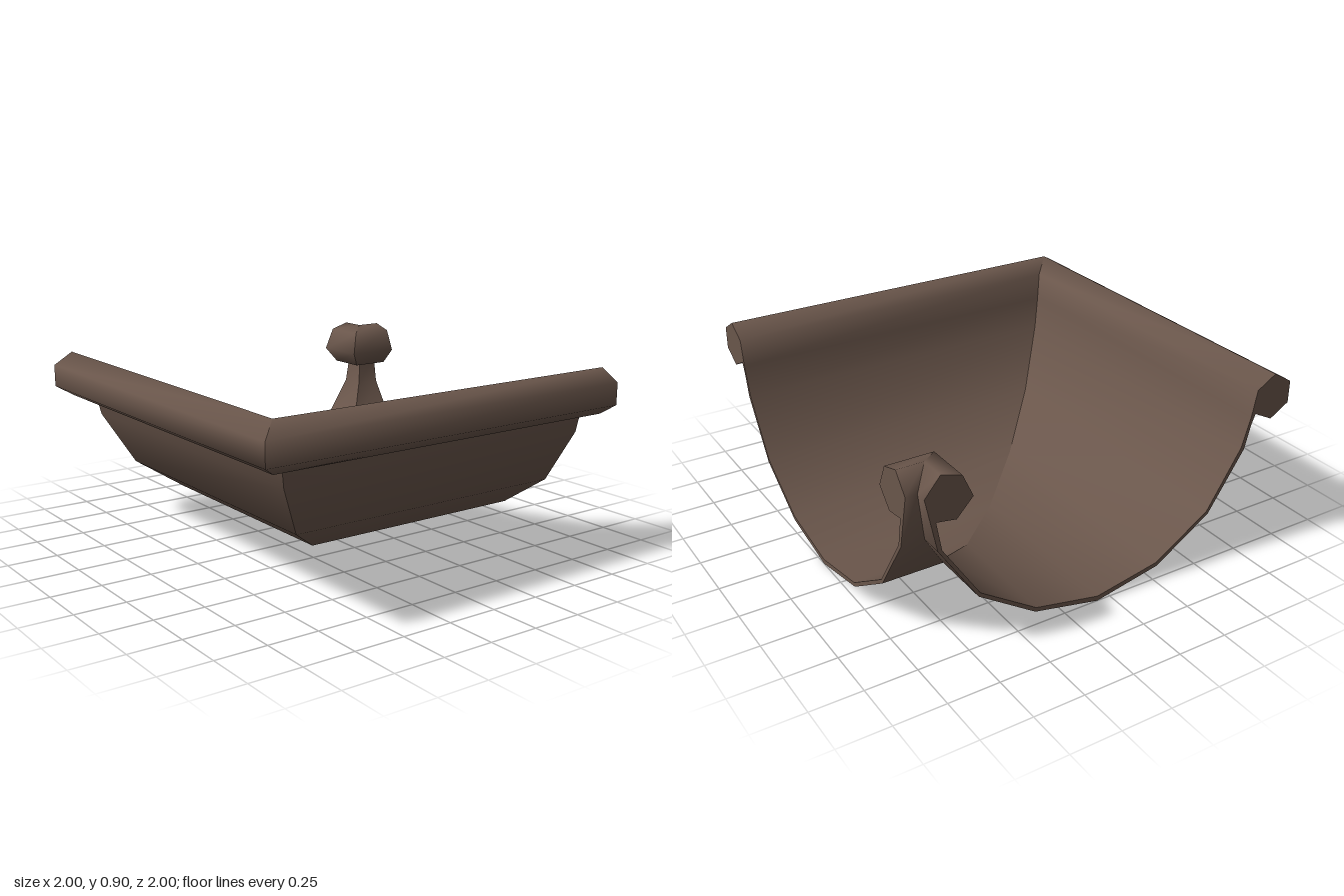
import * as THREE from 'three';
import { toCreasedNormals } from 'three/addons/utils/BufferGeometryUtils.js';

// Gutter cross-section as [across, height]; across runs from outer bead (-1) to inner bead (+0.95)
const PROFILE = [
  // outer bead, then down the outside of the trough
  [-0.80, 0.84], [-0.90, 0.90], [-1.00, 0.84], [-1.00, 0.73], [-0.90, 0.67], [-0.80, 0.72],
  [-0.78, 0.67], [-0.75, 0.55], [-0.56, 0.26], [-0.27, 0.07], [0.07, 0.00],
  [0.41, 0.07], [0.70, 0.26], [0.89, 0.55],
  // inner bead
  [0.945, 0.81], [0.87, 0.90], [0.77, 0.87], [0.72, 0.76], [0.80, 0.675], [0.895, 0.69],
  // back along the inside of the trough
  [0.87, 0.55], [0.69, 0.275], [0.405, 0.09], [0.07, 0.025],
  [-0.265, 0.09], [-0.55, 0.275], [-0.73, 0.56], [-0.775, 0.71],
];

// Extrudes the profile, drops the hidden cap at the mitre, then maps it into place
function leg(name, mitreAt, place, material) {
  const shape = new THREE.Shape(PROFILE.map(([u, y]) => new THREE.Vector2(u, y)));
  const source = new THREE.ExtrudeGeometry(shape, { depth: 1, bevelEnabled: false });
  const p = source.getAttribute('position');
  const points = [];
  for (let i = 0; i < p.count; i += 3) {
    const corners = [i, i + 1, i + 2];
    if (corners.every((c) => Math.abs(p.getZ(c) - mitreAt) < 1e-6)) continue;
    for (const c of corners) points.push(...place(p.getX(c), p.getY(c), p.getZ(c)));
  }
  const geometry = new THREE.BufferGeometry();
  geometry.setAttribute('position', new THREE.Float32BufferAttribute(points, 3));
  const mesh = new THREE.Mesh(toCreasedNormals(geometry, THREE.MathUtils.degToRad(68)), material);
  mesh.name = name;
  return mesh;
}

export function createModel() {
  const group = new THREE.Group();
  group.name = 'gutterCorner';
  const brown = new THREE.MeshStandardMaterial({ color: 0x6a564b });
  brown.name = 'brown';
  const { lerp } = THREE.MathUtils;

  // Both legs meet on the diagonal x = -z
  group.add(leg('frontGutter', 0, (u, y, t) => [lerp(u, 1, t), y, -u], brown));
  group.add(leg('sideGutter', 1, (u, y, t) => [u, y, lerp(-1, -u, t)], brown));
  return group;
}
